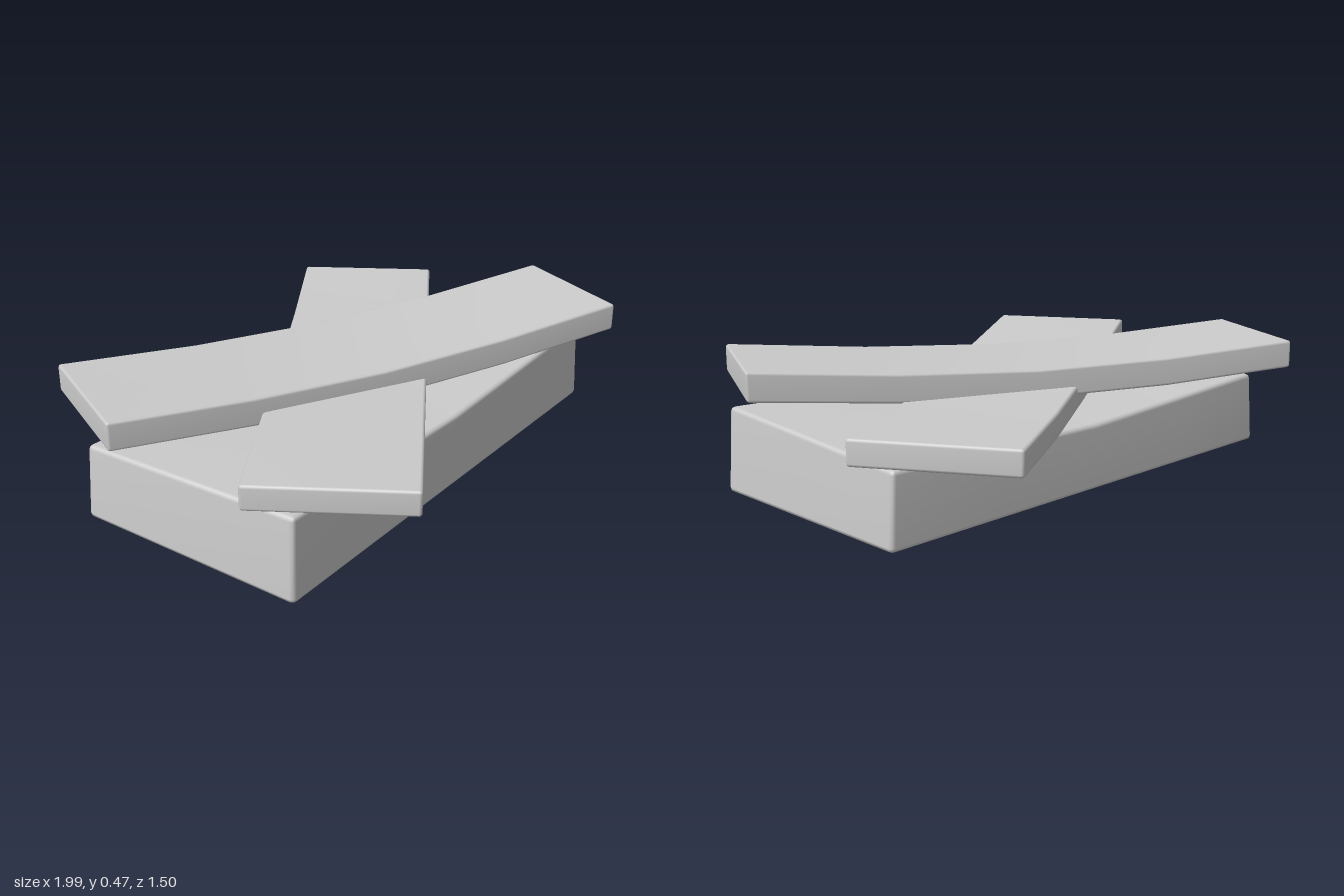
import * as THREE from 'three';
import { mergeVertices } from 'three/addons/utils/BufferGeometryUtils.js';

const wood = new THREE.MeshStandardMaterial({ color: 0xcccccc });
wood.name = 'plain grey';

// Box with softened edges, cut along each axis so it can be bent by a rule.
function softBox(size, cuts, r, bend) {
  const stations = size.map((s, a) => {
    const h = s / 2, list = [-h];
    for (let i = 0; i <= cuts[a]; i++) list.push((h - r) * (2 * i / cuts[a] - 1));
    return [...list, h];
  });
  const [nx, ny, nz] = stations.map((s) => s.length - 1);
  let geo = new THREE.BoxGeometry(1, 1, 1, nx, ny, nz);
  geo.deleteAttribute('normal');
  geo.deleteAttribute('uv');
  geo.clearGroups();
  const pos = geo.attributes.position;
  const inner = new THREE.Vector3(...size).multiplyScalar(0.5).subScalar(r);
  const low = inner.clone().negate();
  const p = new THREE.Vector3(), core = new THREE.Vector3();
  for (let i = 0; i < pos.count; i++) {
    p.fromArray([0, 1, 2].map((a) => {
      const s = stations[a];
      return s[Math.round((pos.getComponent(i, a) + 0.5) * (s.length - 1))];
    }));
    core.copy(p).clamp(low, inner);
    p.sub(core).setLength(r).add(core);
    bend(p);
    pos.setXYZ(i, p.x, p.y, p.z);
  }
  geo = mergeVertices(geo, 1e-5);
  geo.computeVertexNormals();
  return geo;
}

// Linear lookup in evenly spaced values, t from 0 to 1.
function sample(values, t) {
  const f = THREE.MathUtils.clamp(t, 0, 1) * (values.length - 1);
  const i = Math.min(Math.floor(f), values.length - 2);
  return THREE.MathUtils.lerp(values[i], values[i + 1], f - i);
}

// Warped plank: tops gives the height of its upper face from -x end to +x end.
function plank(name, length, thick, width, tops, angle, x, z) {
  const geo = softBox([length, thick, width], [4, 1, 1], 0.01, (p) => {
    p.y += sample(tops, p.x / length + 0.5) - thick / 2;
  });
  const mesh = new THREE.Mesh(geo, wood);
  mesh.name = name;
  mesh.rotation.y = angle;
  mesh.position.set(x, 0, z);
  return mesh;
}

export function createModel() {
  const model = new THREE.Group();
  model.name = 'plankPile';

  // Thick base block, slightly tapered, with a sagging uneven top
  const W = 1.83, H = 0.3, D = 0.87;
  const back = [0.265, 0.228, 0.25], front = [0.29, 0.262, 0.298];
  const base = new THREE.Mesh(softBox([W, H, D], [4, 1, 2], 0.016, (p) => {
    const u = p.x / W + 0.5, v = p.z / D + 0.5;
    const top = THREE.MathUtils.lerp(sample(back, u), sample(front, u), v);
    const taper = 1 - 0.018 * (p.y / H + 0.5);
    p.x *= taper;
    p.z *= taper;
    if (p.y > 0) p.y += top - H;
    p.y += H / 2;
  }), wood);
  base.name = 'baseBlock';
  base.position.z = 0.016;
  model.add(base);

  // Two bent planks crossed on top
  model.add(plank('lowerPlank', 1.986, 0.086, 0.53,
    [0.385, 0.36, 0.34, 0.33, 0.347], 0.563, 0.01, -0.005));
  model.add(plank('upperPlank', 1.966, 0.1, 0.51,
    [0.445, 0.414, 0.405, 0.426, 0.468], -0.442, 0, -0.01));
  return model;
}
